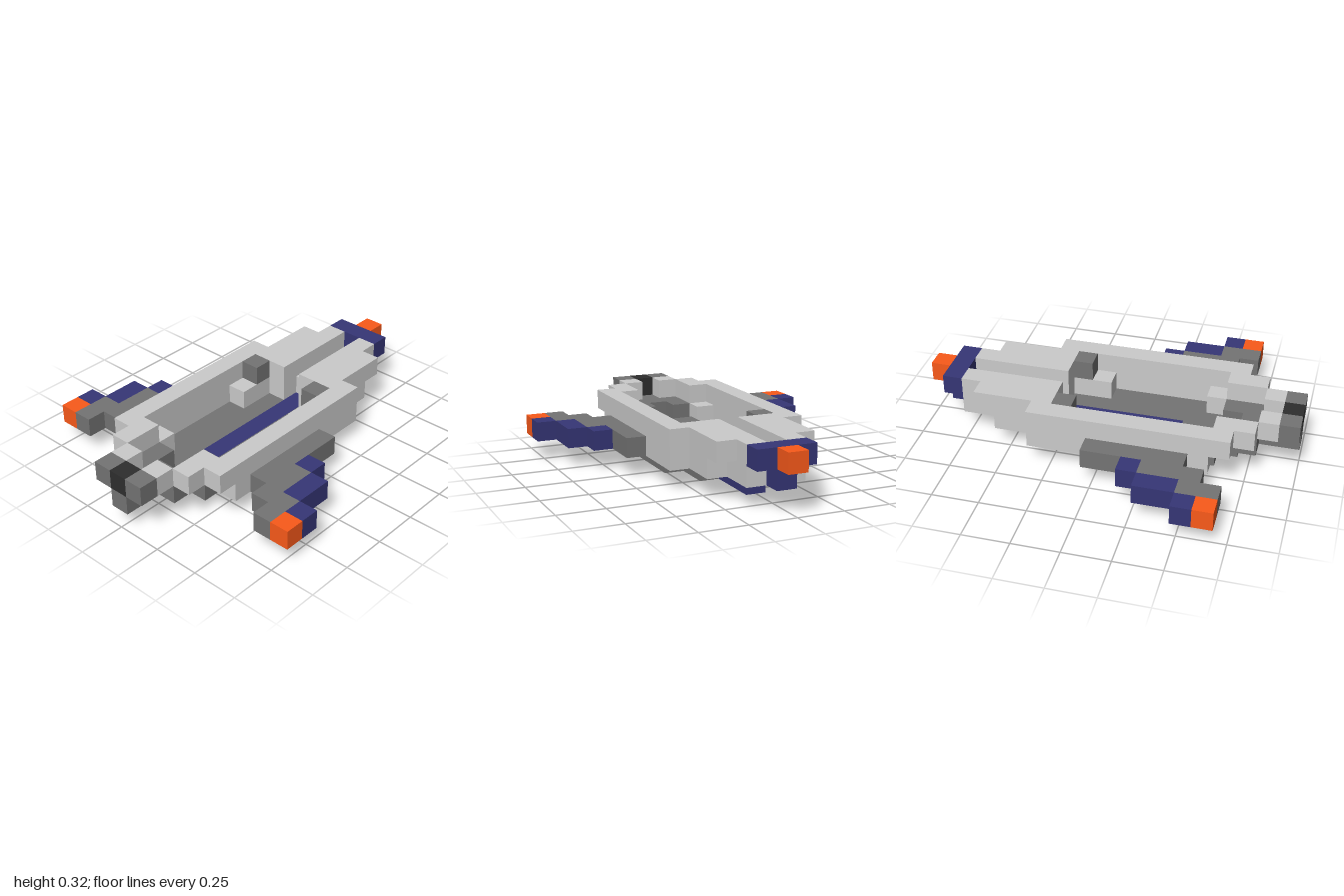
import * as THREE from 'three';

const U = 2 / 19; // one block
const mat = (color) => new THREE.MeshStandardMaterial({ color, flatShading: true });

export function createModel() {
  const ship = new THREE.Group();
  ship.name = 'blockShip';
  const light = mat(0xcccccc), dark = mat(0x747474), blue = mat(0x363676);
  const orange = mat(0xfa5a1a), black = mat(0x2e2e2e);

  // Block run: columns x0..x1, layers y0..y1, rows z0..z1 (row 0 is the tail, row 18 the nose)
  function block(name, m, [x0, x1], [y0, y1], [z0, z1]) {
    const mesh = new THREE.Mesh(
      new THREE.BoxGeometry((x1 - x0 + 1) * U, (y1 - y0 + 1) * U, (z1 - z0 + 1) * U), m);
    mesh.position.set((x0 + x1) / 2 * U, (y0 + y1 + 1) / 2 * U, ((z0 + z1 + 1) / 2 - 9.5) * U);
    mesh.name = name;
    ship.add(mesh);
  }
  const centre = (name, m, y, z) => block(name, m, [0, 0], y, z);
  function pair(name, m, x, y, z) {
    block(name + 'Left', m, x, y, z);
    block(name + 'Right', m, [-x[1], -x[0]], y, z);
  }

  // Belly: coloured keel with a stepped floor around it
  centre('keel', blue, [0, 0], [4, 12]);
  centre('floorFront', dark, [0, 0], [13, 15]);
  pair('floorInner', dark, [1, 1], [0, 0], [7, 14]);
  pair('floorOuter', dark, [2, 2], [0, 0], [9, 13]);

  // Hull sides, two layers high, stepping in towards the tail
  pair('sideWall', light, [3, 3], [1, 2], [6, 14]);
  pair('rearHullOuter', light, [2, 2], [1, 2], [4, 6]);
  pair('rearHullInner', light, [1, 1], [1, 2], [2, 6]);
  pair('rearOverhang', light, [2, 2], [2, 2], [3, 3]);

  // Raised blocks inside the cockpit
  pair('cockpitStep', light, [2, 2], [1, 1], [7, 8]);
  pair('cockpitBlock', dark, [2, 2], [2, 2], [7, 7]);
  pair('cockpitFrontStep', light, [2, 2], [1, 1], [14, 14]);

  // Stripes in the rear channel
  for (let z = 2; z <= 5; z++) centre('rearStripe' + (z - 1), z % 2 ? light : blue, [1, 1], [z, z]);

  // Bow: tapering rim above a dark stepped underside
  pair('bowRimOuter', light, [3, 3], [2, 2], [15, 15]);
  pair('bowRimMiddle', light, [2, 2], [2, 2], [15, 16]);
  pair('bowRimInner', light, [1, 1], [2, 2], [17, 17]);
  pair('bowDeck', dark, [1, 1], [1, 1], [15, 16]);
  centre('bowKeel', dark, [1, 1], [16, 18]);
  pair('noseCheek', dark, [1, 1], [2, 2], [18, 18]);
  centre('noseTip', black, [2, 2], [18, 18]);

  // Tail with engine glow
  centre('tailPost', blue, [1, 2], [1, 1]);
  pair('tailFin', blue, [1, 1], [2, 2], [1, 1]);
  centre('tailGlow', orange, [2, 2], [0, 0]);

  // Stepped wings, swept forward, with coloured trailing edges
  const wing = [
    [dark, 4, 9, 13], [blue, 5, 11, 11], [dark, 5, 12, 14], [blue, 6, 12, 13],
    [dark, 6, 14, 15], [blue, 7, 14, 14], [orange, 7, 15, 15],
  ];
  wing.forEach(([m, x, z0, z1], i) => pair('wingSection' + (i + 1), m, [x, x], [1, 1], [z0, z1]));

  return ship;
}
